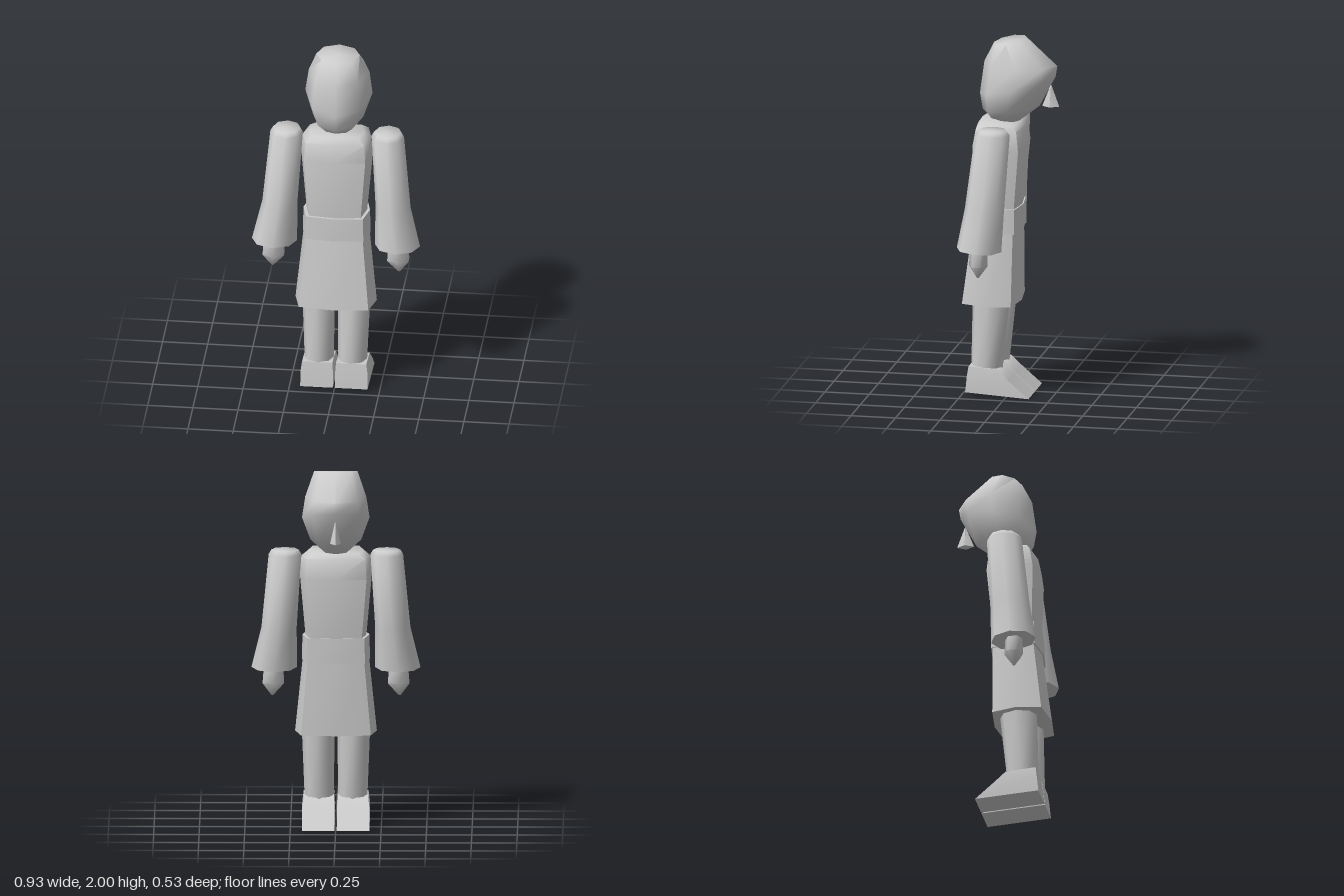
import * as THREE from 'three';
import { toCreasedNormals } from 'three/addons/utils/BufferGeometryUtils.js';

const grey = new THREE.MeshStandardMaterial({ color: 0xcccccc });
grey.name = 'plain grey';

// Closed skin over rings listed from top to bottom.
// Ring: [y at -z end, y at +z end, z at -z end, z at +z end, half width, centre x]
function loft(name, rings, { sides = 8, power = 1, phase = 0, crease = 1.2 } = {}) {
  const bend = (v) => (Math.abs(v) < 1e-6 ? 0 : Math.sign(v) * Math.abs(v) ** power);
  const loops = rings.map(([yf, yb, zf, zb, rx, cx = 0]) => {
    const loop = [];
    for (let j = 0; j < sides; j++) {
      const a = phase + (j / sides) * Math.PI * 2;
      const t = (bend(Math.cos(a)) + 1) / 2;
      loop.push(new THREE.Vector3(cx + rx * bend(Math.sin(a)), yf + (yb - yf) * t, zf + (zb - zf) * t));
    }
    return loop;
  });
  const positions = [];
  const face = (...points) => points.forEach((p) => positions.push(p.x, p.y, p.z));
  const middle = (loop) => loop.reduce((m, p) => m.add(p), new THREE.Vector3()).divideScalar(sides);
  const first = loops[0], last = loops[loops.length - 1];
  const top = middle(first), bottom = middle(last);
  for (let j = 0; j < sides; j++) {
    const k = (j + 1) % sides;
    for (let i = 0; i < loops.length - 1; i++) {
      const a = loops[i], b = loops[i + 1];
      face(b[j], b[k], a[k]);
      face(b[j], a[k], a[j]);
    }
    face(top, first[j], first[k]);
    face(bottom, last[k], last[j]);
  }
  const geometry = new THREE.BufferGeometry();
  geometry.setAttribute('position', new THREE.Float32BufferAttribute(positions, 3));
  const mesh = new THREE.Mesh(toCreasedNormals(geometry, crease), grey);
  mesh.name = name;
  return mesh;
}

export function createModel() {
  const group = new THREE.Group();
  group.name = 'figure';

  // Head and nose
  group.add(loft('head', [
    [2.0, 1.97, -0.08, 0.1, 0.12],
    [1.85, 1.86, -0.255, 0.155, 0.168],
    [1.79, 1.68, -0.245, 0.18, 0.186],
    [1.62, 1.59, -0.155, 0.165, 0.14],
    [1.53, 1.555, -0.04, 0.13, 0.08],
  ]));
  group.add(loft('nose', [
    [1.74, 1.74, -0.222, -0.216, 0.003],
    [1.62, 1.62, -0.265, -0.17, 0.03],
  ], { sides: 4 }));

  // Tunic: chest, belt and skirt
  const boxy = { power: 0.45 };
  group.add(loft('chest', [
    [1.53, 1.545, -0.05, 0.165, 0.15],
    [1.505, 1.51, -0.075, 0.19, 0.19],
    [1.39, 1.41, -0.09, 0.21, 0.198],
    [1.03, 1.03, -0.055, 0.2, 0.165],
  ], boxy));
  group.add(loft('belt', [
    [1.06, 1.065, -0.065, 0.215, 0.184],
    [0.92, 0.93, -0.065, 0.22, 0.188],
  ], boxy));
  group.add(loft('skirt', [
    [0.94, 0.94, -0.055, 0.21, 0.182],
    [0.515, 0.525, -0.055, 0.265, 0.225],
  ], boxy));

  // Arms and legs, mirrored
  for (const s of [1, -1]) {
    const side = s > 0 ? 'left' : 'right';
    group.add(loft(side + 'Sleeve', [
      [1.54, 1.54, -0.025, 0.13, 0.075, s * 0.28],
      [1.515, 1.515, -0.045, 0.15, 0.09, s * 0.28],
      [1.1, 1.1, -0.02, 0.2, 0.097, s * 0.313],
      [0.865, 0.88, -0.01, 0.24, 0.125, s * 0.34],
    ]));
    group.add(loft(side + 'Hand', [
      [0.9, 0.9, 0.07, 0.165, 0.06, s * 0.343],
      [0.785, 0.785, 0.065, 0.17, 0.068, s * 0.345],
      [0.715, 0.715, 0.115, 0.125, 0.006, s * 0.35],
    ], { sides: 6 }));
    group.add(loft(side + 'Leg', [
      [0.56, 0.56, -0.01, 0.2, 0.091, s * 0.098],
      [0.13, 0.13, 0.035, 0.21, 0.08, s * 0.092],
    ]));
    group.add(loft(side + 'Shoe', [
      [0.155, 0.168, 0.04, 0.208, 0.084, s * 0.094],
      [0.1, 0.11, -0.015, 0.216, 0.09, s * 0.096],
      [0.0, 0.022, -0.13, 0.225, 0.09, s * 0.096],
    ], { sides: 4, power: 0, phase: Math.PI / 4, crease: 0.9 }));
  }
  return group;
}
